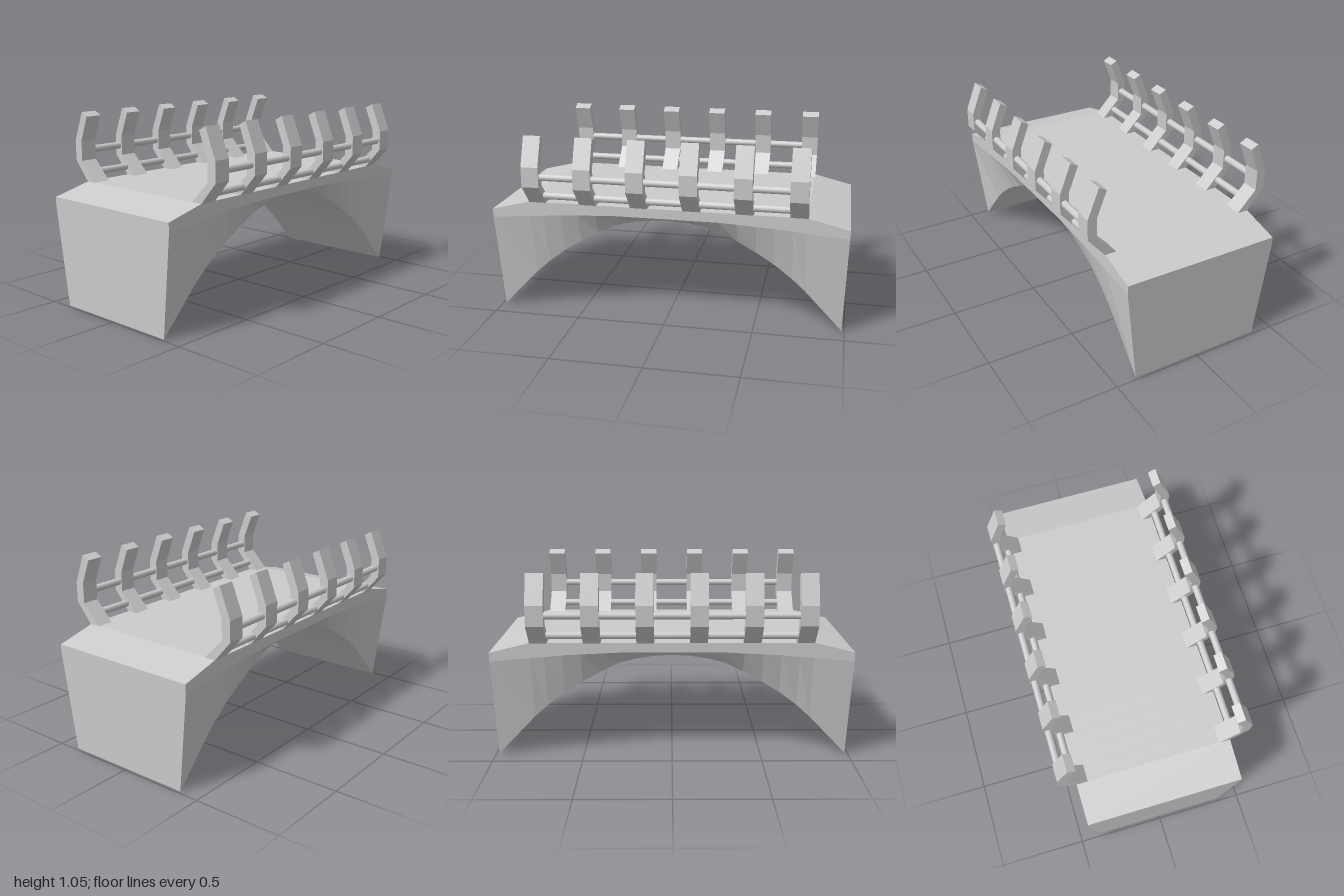
import * as THREE from 'three';

const flat = new THREE.MeshStandardMaterial({ color: 0xcccccc, flatShading: true });
const smooth = new THREE.MeshStandardMaterial({ color: 0xcccccc });

// Half of the arch, from mid-span to the end: [z, underside height, rim height, deck height]
const HALF_SPAN = [
  [0, 0.58, 0.61, 0.665], [0.1, 0.575, 0.61, 0.665], [0.2, 0.56, 0.61, 0.665],
  [0.295, 0.535, 0.61, 0.665], [0.395, 0.485, 0.605, 0.665], [0.5, 0.427, 0.6, 0.665],
  [0.6, 0.365, 0.595, 0.665], [0.7, 0.288, 0.585, 0.665], [0.775, 0.22, 0.58, 0.665],
  [1, 0, 0.56, 0.61],
];

// Loft of six-sided cross-sections: deck on top, upright rim, sides tapering to the underside
function bridgeGeometry() {
  const stations = [
    ...HALF_SPAN.slice(1).reverse().map(([z, ...h]) => [-z, ...h]),
    ...HALF_SPAN,
  ];
  const rings = stations.map(([z, under, rim, deck]) => {
    // the end walls lean in slightly towards their foot
    const lean = (y) => (Math.abs(z) === 1 ? z * (1 - 0.015 * (1 - y / 0.61)) : z);
    return [
      [0.38, under], [0.445, rim], [0.445, deck],
      [-0.445, deck], [-0.445, rim], [-0.38, under],
    ].map(([x, y]) => [x, y, lean(y)]);
  });
  const pos = [];
  const tri = (a, b, c) => pos.push(...a, ...b, ...c);
  for (let i = 0; i < rings.length - 1; i++) {
    for (let j = 0; j < 6; j++) {
      const k = (j + 1) % 6;
      tri(rings[i][j], rings[i][k], rings[i + 1][k]);
      tri(rings[i][j], rings[i + 1][k], rings[i + 1][j]);
    }
  }
  const first = rings[0], last = rings[rings.length - 1];
  for (let j = 1; j < 5; j++) {
    tri(last[0], last[j], last[j + 1]);
    tri(first[0], first[j + 1], first[j]);
  }
  const geo = new THREE.BufferGeometry();
  geo.setAttribute('position', new THREE.Float32BufferAttribute(pos, 3));
  geo.computeVertexNormals();
  return geo;
}

// Bent post: leans out, rises, then curls back in
const POST = [
  [0.38, 0.663], [0.445, 0.663], [0.542, 0.777], [0.542, 0.89],
  [0.478, 1.053], [0.435, 1.03], [0.49, 0.89], [0.49, 0.777],
];
const POST_DEPTH = 0.097;

function railing(side) {
  const group = new THREE.Group();
  const shape = new THREE.Shape(POST.map(([x, y]) => new THREE.Vector2(side * x, y)));
  const postGeo = new THREE.ExtrudeGeometry(shape, { depth: POST_DEPTH, bevelEnabled: false });
  postGeo.translate(0, 0, -POST_DEPTH / 2);
  for (let i = 0; i < 6; i++) {
    const post = new THREE.Mesh(postGeo, flat);
    post.name = 'post';
    post.position.z = -0.73 + i * 0.292;
    group.add(post);
  }
  // Two round rails running through all the posts
  const railGeo = new THREE.CylinderGeometry(0.02, 0.02, 1.46, 16).rotateX(Math.PI / 2);
  for (const [name, x, y] of [['lowerRail', 0.459, 0.711], ['upperRail', 0.515, 0.832]]) {
    const rail = new THREE.Mesh(railGeo, smooth);
    rail.name = name;
    rail.position.set(side * x, y, 0);
    group.add(rail);
  }
  return group;
}

export function createModel() {
  const model = new THREE.Group();
  model.name = 'archBridge';

  const bridge = new THREE.Mesh(bridgeGeometry(), flat);
  bridge.name = 'archedDeck';
  model.add(bridge);

  for (const side of [1, -1]) {
    const rail = railing(side);
    rail.name = side > 0 ? 'leftRailing' : 'rightRailing';
    model.add(rail);
  }
  return model;
}
